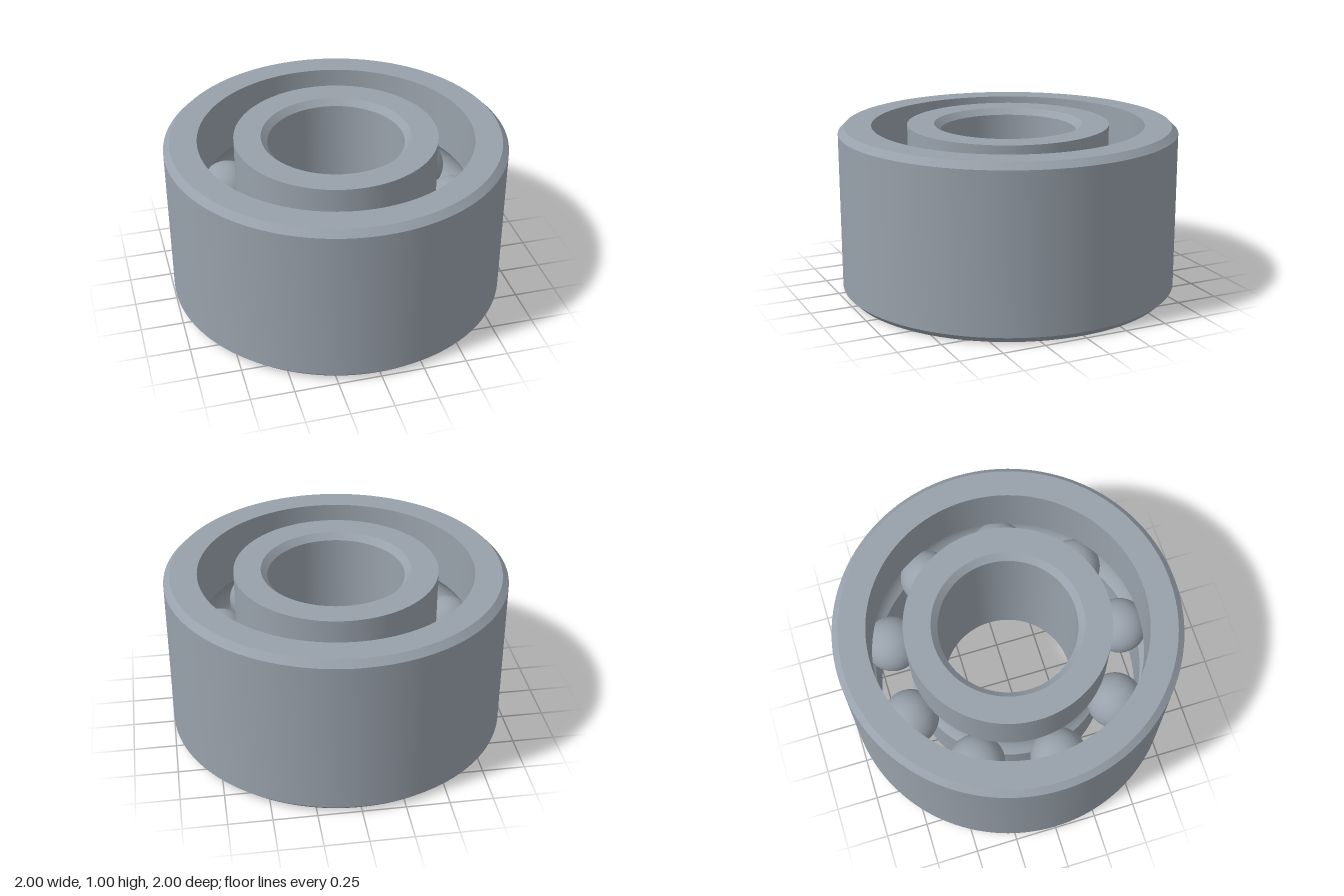
import * as THREE from 'three';
import { toCreasedNormals } from 'three/addons/utils/BufferGeometryUtils.js';

const PITCH = 0.7, BALL_R = 0.166, GROOVE_R = 0.168, MID_Y = 0.5;
const OUTER_R = 1, BORE_R = 0.4, INNER_LAND = 0.595, OUTER_LAND = 0.805, CHAMFER = 0.037;
const BALLS = 9;

// Points of the ball groove cut into a cylindrical land; up = 1 runs upward, -1 downward
function groove(landR, up) {
  const side = Math.sign(landR - PITCH);
  const half = Math.acos(Math.abs(landR - PITCH) / GROOVE_R);
  const points = [];
  for (let i = 0; i <= 16; i++) {
    const a = up * half * (i / 8 - 1);
    points.push([PITCH + side * GROOVE_R * Math.cos(a), MID_Y + GROOVE_R * Math.sin(a)]);
  }
  return points;
}

// Revolves a closed counter-clockwise profile, keeping its corners sharp
function ring(name, profile, material) {
  const points = [...profile, profile[0]].map(([r, y]) => new THREE.Vector2(r, y));
  const geometry = toCreasedNormals(new THREE.LatheGeometry(points, 128), Math.PI / 8);
  const mesh = new THREE.Mesh(geometry, material);
  mesh.name = name;
  return mesh;
}

export function createModel() {
  const model = new THREE.Group();
  model.name = 'ballBearing';
  const steel = new THREE.MeshStandardMaterial({ color: 0x98a1ab });
  steel.name = 'steel';

  // Outer ring, chamfered on its outside edges
  model.add(ring('outerRing', [
    [OUTER_LAND, 0], [OUTER_R - CHAMFER, 0], [OUTER_R, CHAMFER],
    [OUTER_R, 1 - CHAMFER], [OUTER_R - CHAMFER, 1], [OUTER_LAND, 1],
    ...groove(OUTER_LAND, -1),
  ], steel));

  // Inner ring, chamfered on its bore edges
  model.add(ring('innerRing', [
    [BORE_R + CHAMFER, 0], [INNER_LAND, 0],
    ...groove(INNER_LAND, 1),
    [INNER_LAND, 1], [BORE_R + CHAMFER, 1], [BORE_R, 1 - CHAMFER], [BORE_R, CHAMFER],
  ], steel));

  // Balls spaced evenly around the race
  const balls = new THREE.Group();
  balls.name = 'balls';
  const ballGeometry = new THREE.SphereGeometry(BALL_R, 40, 28);
  for (let i = 0; i < BALLS; i++) {
    const a = THREE.MathUtils.degToRad(12 + i * 360 / BALLS);
    const ball = new THREE.Mesh(ballGeometry, steel);
    ball.name = 'ball';
    ball.position.set(PITCH * Math.cos(a), MID_Y, PITCH * Math.sin(a));
    balls.add(ball);
  }
  model.add(balls);
  return model;
}
